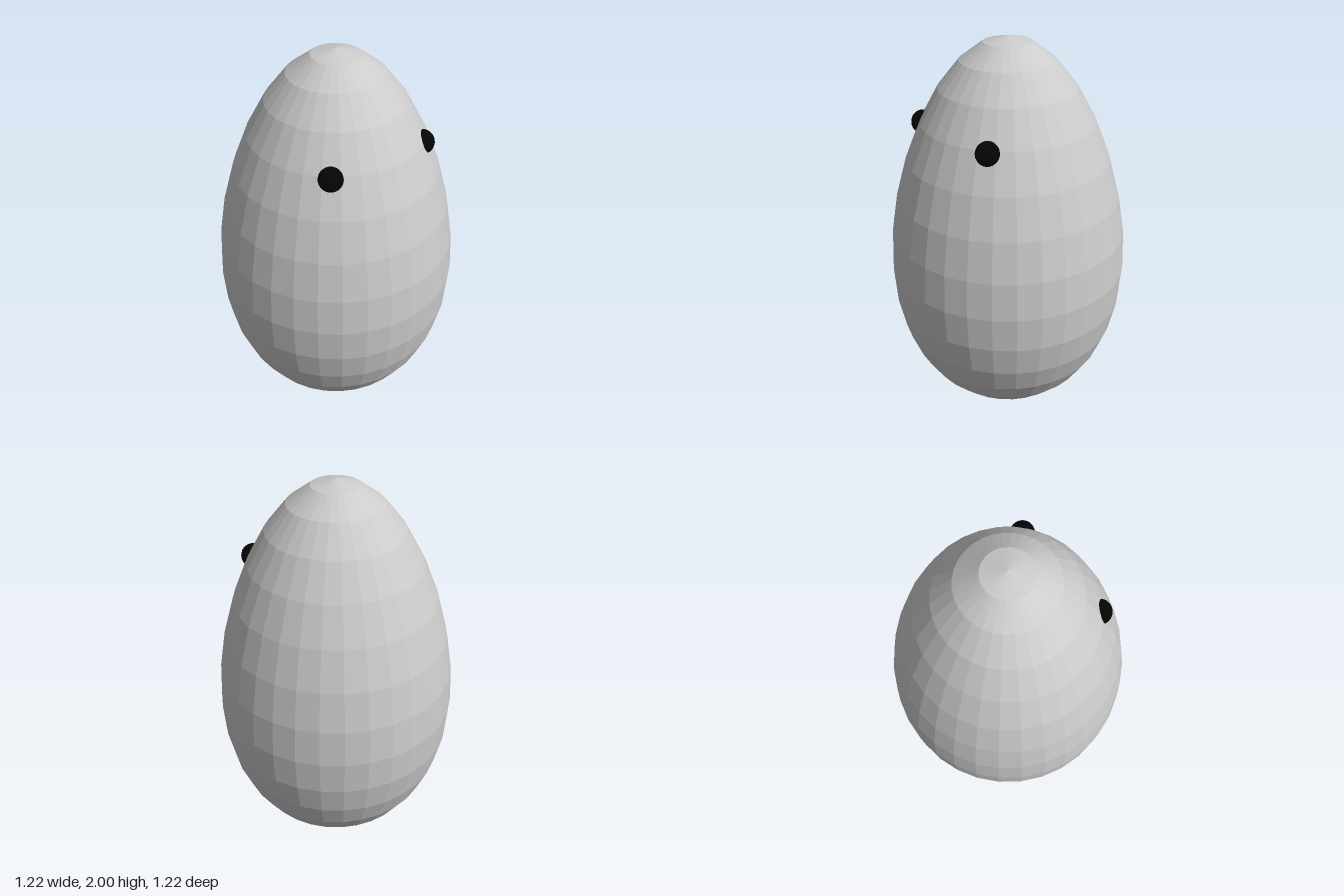
import * as THREE from 'three';

const RINGS = 16;
const SIDES = 32;

// Height of the egg's ring, from c = -1 (bottom) to 1 (top)
const ringHeight = c => 0.818 + 0.953 * c + 0.15 * c ** 2 + 0.047 * c ** 3 + 0.032 * c ** 4;

export function createModel() {
  const model = new THREE.Group();
  model.name = 'egg';

  // Faceted egg shell: a circle profile stretched towards the top
  const profile = [];
  for (let i = 0; i <= RINGS; i++) {
    const a = (Math.PI * i) / RINGS;
    const radius = i % RINGS === 0 ? 0 : 0.61 * Math.sin(a);
    profile.push(new THREE.Vector2(radius, ringHeight(-Math.cos(a))));
  }
  const shell = new THREE.Mesh(
    new THREE.LatheGeometry(profile, SIDES),
    new THREE.MeshStandardMaterial({ color: 0xcccccc, flatShading: true })
  );
  shell.name = 'shell';
  model.add(shell);

  // Two small black eyes, half sunk into the +x side
  const eyeGeometry = new THREE.SphereGeometry(0.06, 32, 16);
  const eyeMaterial = new THREE.MeshStandardMaterial({ color: 0x050505 });
  for (const side of [1, -1]) {
    const eye = new THREE.Mesh(eyeGeometry, eyeMaterial);
    eye.name = side > 0 ? 'frontEye' : 'backEye';
    eye.position.set(0.318, 1.572, side * 0.266);
    model.add(eye);
  }
  return model;
}
